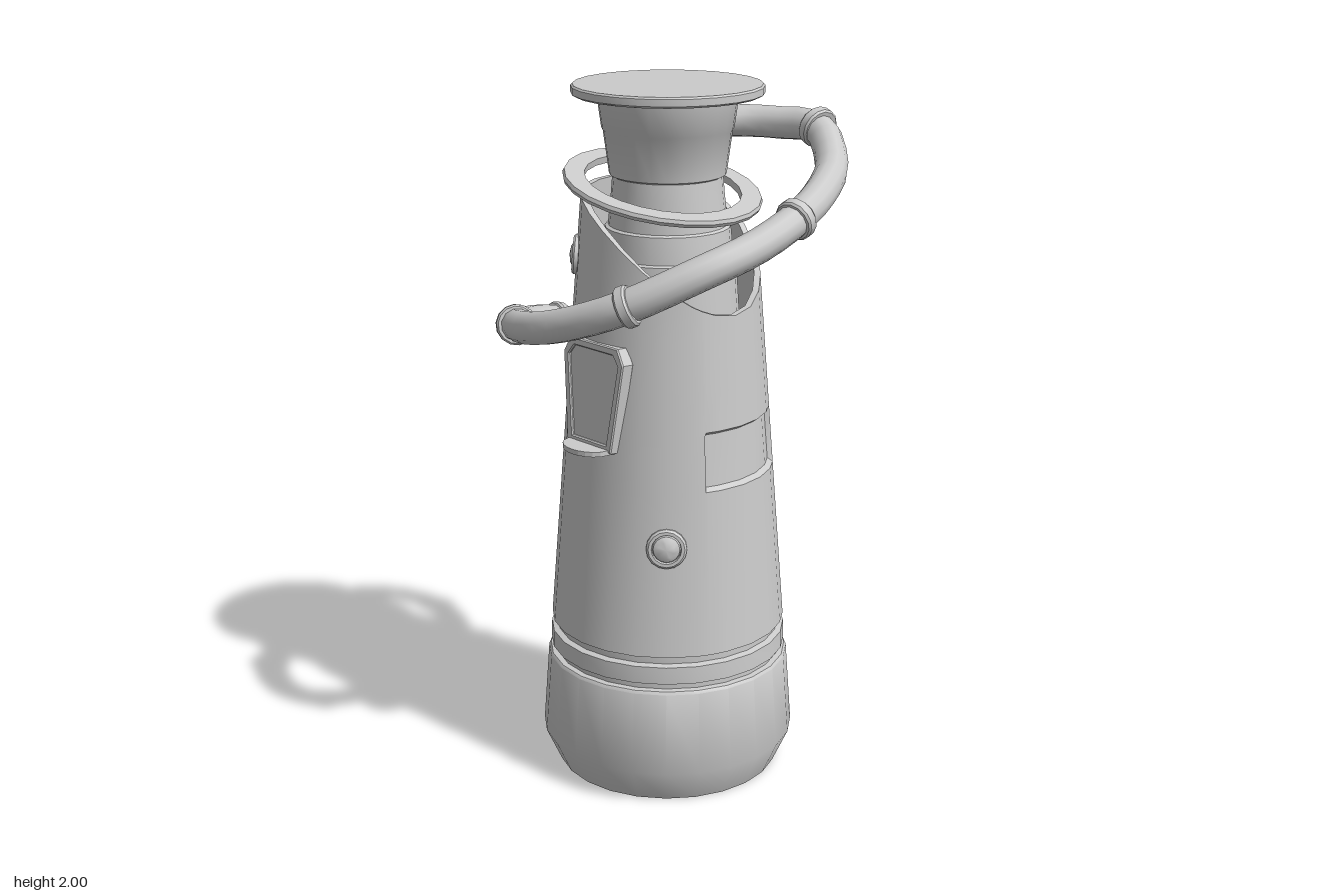
import * as THREE from 'three';
import { toCreasedNormals } from 'three/addons/utils/BufferGeometryUtils.js';

const SIDES = 24;
const material = new THREE.MeshStandardMaterial({ color: 0xcccccc });
const doubleSided = new THREE.MeshStandardMaterial({ color: 0xcccccc, side: THREE.DoubleSide });

function add(parent, name, geometry, mat = material) {
  const mesh = new THREE.Mesh(geometry, mat);
  mesh.name = name;
  parent.add(mesh);
  return mesh;
}

function lathe(profile, sides = SIDES) {
  const points = profile.map(([r, y]) => new THREE.Vector2(r, y));
  return toCreasedNormals(new THREE.LatheGeometry(points, sides), 0.6);
}

// Tapered shell: wall radius, and the slanted top edge that is lowest at +x
const wallRadius = (y) => 0.34 - 0.0794 * (y - 0.45);
const rimHeight = (a) => 1.63 - 0.1575 * Math.cos(a) - 0.0725 * Math.cos(a) ** 2;

// Shell with two recessed side panels and a thick rim
function shellGeometry() {
  const degrees = [];
  for (let i = 0; i < SIDES; i++) degrees.push(-60 + (i * 360) / SIDES);
  const panels = [[-43, 24], [137, 204]];
  panels.forEach(([a, b]) => degrees.push(a, a + 1, b - 1, b));
  degrees.sort((p, q) => p - q);
  degrees.push(300);

  // Rows run up the outside, over the rim and down the inside
  const rowsAt = (deg) => {
    const a = THREE.MathUtils.degToRad(deg);
    const top = rimHeight(a);
    const inPanel = panels.some(([p, q]) => deg > p && deg < q);
    const rows = [0.45, 0.922, 0.932, 1.08, 1.09, 1.2].map((y) => {
      const sunk = inPanel && y > 0.925 && y < 1.085 ? 0.015 : 0;
      return [wallRadius(y) - sunk, y];
    });
    rows.push([wallRadius((1.2 + top) / 2), (1.2 + top) / 2]);
    rows.push([wallRadius(top), top], [wallRadius(top) - 0.018, top]);
    rows.push([wallRadius(1.25) - 0.018, 1.25]);
    return rows.map(([r, y]) => [r * Math.cos(a), y, r * Math.sin(a)]);
  };

  const columns = degrees.map(rowsAt);
  const n = columns[0].length;
  const index = [];
  for (let i = 0; i < columns.length - 1; i++) {
    for (let j = 0; j < n - 1; j++) {
      const a = i * n + j, c = a + n;
      index.push(a, a + 1, c, c, a + 1, c + 1);
    }
  }
  const geometry = new THREE.BufferGeometry();
  geometry.setAttribute('position', new THREE.Float32BufferAttribute(columns.flat(2), 3));
  geometry.setIndex(index);
  return toCreasedNormals(geometry, 0.6);
}

// Domed button with a raised rim, set into the wall
function addButton(parent, deg, y) {
  const a = THREE.MathUtils.degToRad(deg);
  const button = new THREE.Group();
  button.name = 'button';
  const r = wallRadius(y) - 0.004;
  button.position.set(r * Math.cos(a), y, r * Math.sin(a));
  const normal = new THREE.Vector3(Math.cos(a), 0.08, Math.sin(a)).normalize();
  button.quaternion.setFromUnitVectors(new THREE.Vector3(0, 1, 0), normal);
  add(button, 'buttonRim', lathe([[0.057, -0.02], [0.057, 0.008], [0.051, 0.014], [0.042, 0.014], [0.04, 0.004]], 16));
  add(button, 'buttonDome', lathe([[0.04, 0], [0.037, 0.012], [0.022, 0.02], [0, 0.023]], 16));
  parent.add(button);
}

// Six-cornered outline of the front plate, shrunk by an inset
function plateOutline(inset, Type = THREE.Shape) {
  const half = [[0.085, -0.145], [0.116, 0.105], [0.093, 0.145]]
    .map(([x, y]) => [x - inset, y - Math.sign(y) * inset * (x > 0.1 ? 0.3 : 1)]);
  const mirrored = half.map(([x, y]) => [-x, y]).reverse();
  return new Type([...half, ...mirrored].map(([x, y]) => new THREE.Vector2(x, y)));
}

function addFrontHolder(parent) {
  const holder = new THREE.Group();
  holder.name = 'frontHolder';
  holder.position.set(0, 1.175, wallRadius(1.175) - 0.025);
  holder.rotation.x = -0.079;
  const frame = plateOutline(0);
  frame.holes.push(plateOutline(0.015, THREE.Path));
  add(holder, 'plateFrame', new THREE.ExtrudeGeometry(frame, {
    depth: 0.034, bevelEnabled: true, bevelSize: 0.003, bevelThickness: 0.004, bevelSegments: 1,
  }));
  add(holder, 'platePanel', new THREE.ExtrudeGeometry(plateOutline(0.008), { depth: 0.03, bevelEnabled: false }));
  parent.add(holder);

  // Rounded shelf at the foot of the plate
  const shape = new THREE.Shape();
  shape.moveTo(-0.085, 0);
  shape.lineTo(0.085, 0);
  shape.lineTo(0.075, 0.045);
  shape.bezierCurveTo(0.045, 0.096, -0.045, 0.096, -0.075, 0.045);
  const shelf = add(parent, 'holderShelf', new THREE.ExtrudeGeometry(shape, {
    depth: 0.014, bevelEnabled: false, curveSegments: 8,
  }));
  shelf.rotation.x = Math.PI / 2;
  shelf.position.set(0, 1.04, 0.285);
}

// Hose spiralling from the neck down to the wall, with joint sleeves
function addHose(parent) {
  const path = [
    [-0.10, 1.86, -0.15], [-0.08, 1.86, -0.28], [0, 1.86, -0.36], [0.09, 1.86, -0.395],
    [0.2, 1.86, -0.41], [0.315, 1.78, -0.34], [0.39, 1.73, -0.21],
    [0.43, 1.685, -0.07], [0.42, 1.63, 0.075], [0.365, 1.575, 0.225],
    [0.235, 1.49, 0.357], [0.12, 1.44, 0.4], [0, 1.4, 0.413], [-0.12, 1.37, 0.39],
    [-0.225, 1.35, 0.345], [-0.335, 1.31, 0.235], [-0.405, 1.285, 0.12],
    [-0.43, 1.26, 0.02], [-0.39, 1.215, -0.08], [-0.345, 1.175, -0.155], [-0.23, 1.165, -0.16],
  ].map((p) => new THREE.Vector3(...p));
  const joints = [4, 7, 10, 14, 17];
  const curve = new THREE.CatmullRomCurve3(path);
  add(parent, 'hose', new THREE.TubeGeometry(curve, 48, 0.046, 12), doubleSided);
  for (const i of joints) {
    const joint = add(parent, 'hoseJoint', lathe([
      [0.04, -0.017], [0.052, -0.017], [0.057, -0.011], [0.057, 0.011], [0.052, 0.017], [0.04, 0.017],
    ], 14));
    joint.position.copy(path[i]);
    const tangent = curve.getTangent(i / (path.length - 1));
    joint.quaternion.setFromUnitVectors(new THREE.Vector3(0, 1, 0), tangent);
  }
}

export function createModel() {
  const model = new THREE.Group();
  model.name = 'flask';
  const body = new THREE.Group();
  body.name = 'body';
  body.position.set(-0.005, 0, -0.025);
  model.add(body);

  // Foot with the grooved band above it
  add(body, 'base', lathe([
    [0, 0], [0.325, 0], [0.37, 0.1], [0.352, 0.34], [0.346, 0.348], [0.33, 0.35], [0.33, 0.368],
    [0.344, 0.37], [0.342, 0.42], [0.325, 0.425], [0.325, 0.45], [0.34, 0.45],
  ]));
  add(body, 'shell', shellGeometry(), doubleSided);

  // Stepped neck inside the shell, flaring up to the cap
  add(body, 'neck', lathe([
    [0.265, 1.27], [0.205, 1.3], [0.19, 1.53], [0.182, 1.535], [0.175, 1.61], [0.166, 1.615],
    [0.157, 1.7], [0.153, 1.75], [0.162, 1.755], [0.178, 1.875], [0.182, 1.88], [0.195, 1.975],
  ]), doubleSided);
  add(body, 'cap', lathe([[0, 1.97], [0.255, 1.97], [0.265, 1.976], [0.265, 1.995], [0.26, 2], [0, 2]]));

  // Tilted flat collar ring
  const collar = add(body, 'collar', lathe([
    [0.22, -0.01], [0.276, -0.01], [0.28, 0], [0.276, 0.01], [0.22, 0.01], [0.22, -0.01],
  ]));
  collar.position.set(-0.02, 1.715, 0);
  collar.rotation.z = -0.215;

  [[45, 0.768], [225, 0.768], [-84, 1.235], [180, 1.522], [135, 1.525]]
    .forEach(([deg, y]) => addButton(body, deg, y));
  addFrontHolder(body);
  addHose(model);
  return model;
}
